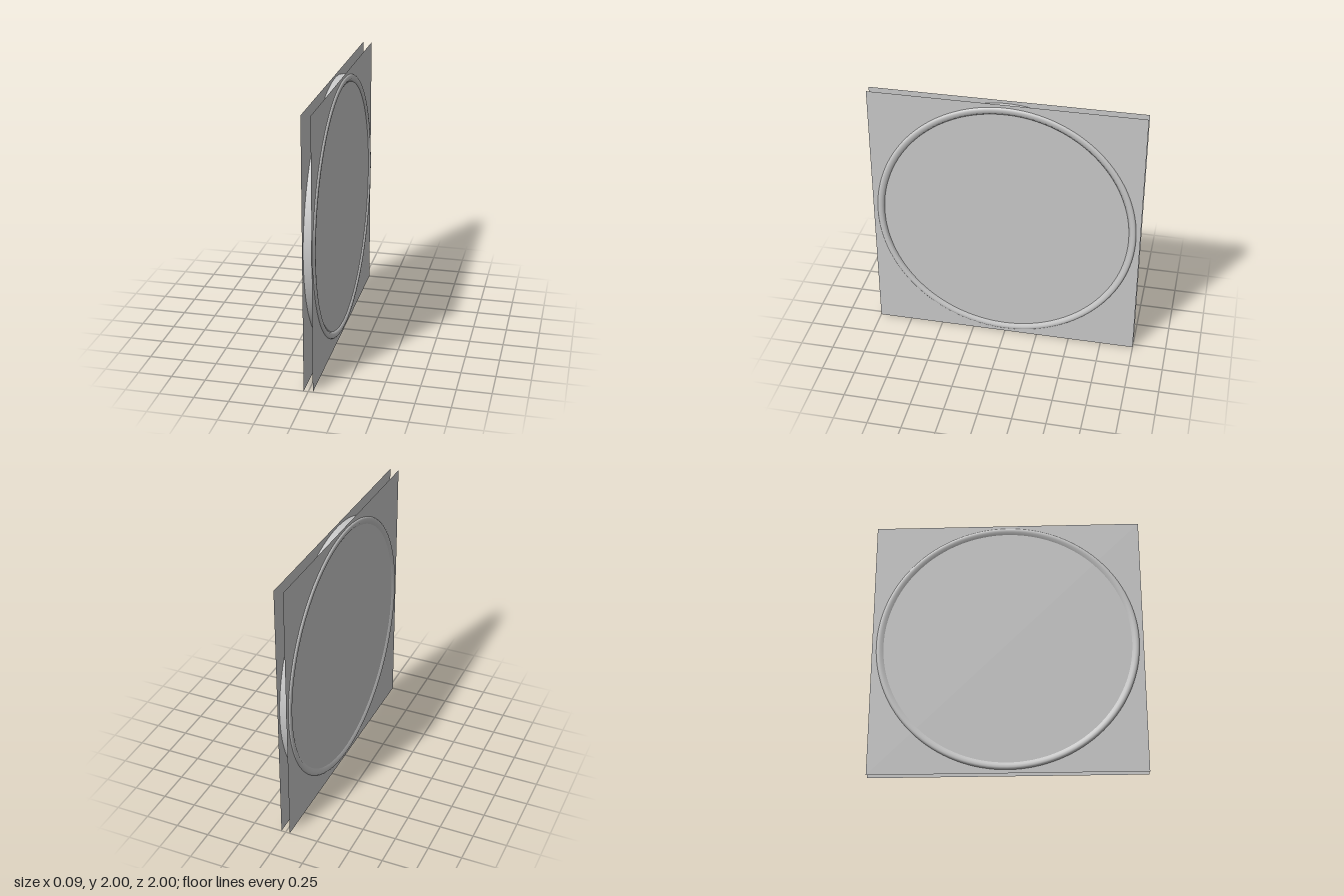
import * as THREE from 'three';

export function createModel() {
  const model = new THREE.Group();
  const grey = new THREE.MeshStandardMaterial({ color: 0xcccccc, side: THREE.DoubleSide });

  // Ring: rounded section with a bevelled inner lip, turned about the x axis
  const section = new THREE.Shape();
  section.moveTo(0.922, -0.033);
  section.lineTo(0.942, -0.045);
  section.lineTo(0.958, -0.045);
  section.quadraticCurveTo(0.974, -0.044, 0.977, -0.028);
  section.lineTo(0.977, 0.028);
  section.quadraticCurveTo(0.974, 0.044, 0.958, 0.045);
  section.lineTo(0.942, 0.045);
  section.lineTo(0.922, 0.033);
  section.lineTo(0.922, -0.033);
  const ringGeometry = new THREE.LatheGeometry(section.getPoints(6), 128);
  ringGeometry.rotateZ(-Math.PI / 2);
  ringGeometry.scale(1, 1, 0.993);
  const ring = new THREE.Mesh(ringGeometry, grey);
  ring.name = 'ring';
  ring.position.y = 1.002;
  model.add(ring);

  // Two thin square sheets closing the ring on either side
  for (const side of [1, -1]) {
    const sheet = new THREE.Mesh(new THREE.PlaneGeometry(2, 2), grey);
    sheet.name = side > 0 ? 'leftSheet' : 'rightSheet';
    sheet.rotation.y = side * Math.PI / 2;
    sheet.position.set(side * 0.033, 1, 0);
    model.add(sheet);
  }
  return model;
}
